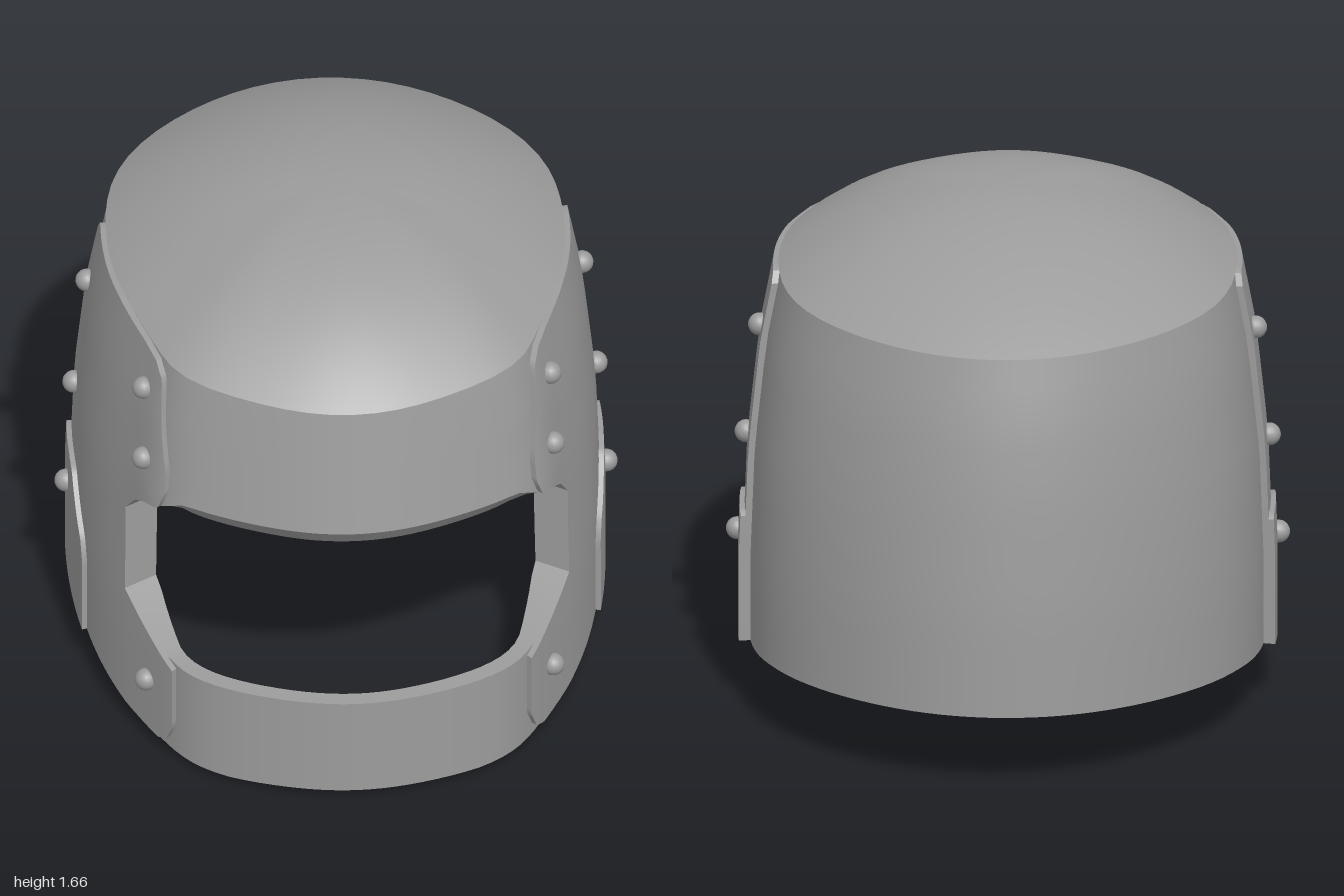
import * as THREE from 'three';
import { toCreasedNormals } from 'three/addons/utils/BufferGeometryUtils.js';

const steel = new THREE.MeshStandardMaterial({ color: 0x9c9c9c });
steel.name = 'grey steel';
const lining = new THREE.MeshStandardMaterial({ color: 0x424242 });
lining.name = 'dark lining';

// Piecewise linear profile through [position, value] pairs
function profile(points) {
  return (p) => {
    if (p <= points[0][0]) return points[0][1];
    for (let i = 1; i < points.length; i++) {
      const [a, b] = [points[i - 1], points[i]];
      if (p <= b[0]) return a[1] + ((b[1] - a[1]) * (p - a[0])) / (b[0] - a[0]);
    }
    return points[points.length - 1][1];
  };
}

// Plan size of the helmet at each height
const halfWidth = profile([[0, 0.8], [0.5, 0.8], [0.85, 0.787], [1.2, 0.75], [1.44, 0.705]]);
const frontReach = profile([[0, 1], [0.36, 1], [0.92, 0.925], [1.37, 0.84], [1.45, 0.82]]);
const backReach = profile([[0.26, 1], [0.6, 0.99], [0.97, 0.957], [1.2, 0.922], [1.41, 0.87]]);
// Angle at which the front corners are fullest
const cornerAngle = profile([[0.36, 0.5], [0.95, 0.66]]);
const bulge = (a, centre, width, size) => size * Math.exp(-(((a - centre) / width) ** 2));

// Edges and inner offset of the shell, by u = cos(angle from the front)
const bottom = profile([[-1, 0.26], [-0.5, 0.235], [-0.1, 0.195], [0.2, 0.14], [0.5, 0.075], [0.7, 0.03], [0.9, 0], [1, 0.005]]);
const rim = profile([[-1, 1.41], [-0.2, 1.43], [0.3, 1.43], [0.6, 1.41], [1, 1.37]]);
const inside = profile([[-1, -0.05], [0.3, -0.055], [0.5, -0.1], [0.56, -0.1], [0.75, -0.055]]);

// Point on the wall at angle t and height y, pushed out by off
function wall(t, y, off = 0) {
  const a = Math.abs(t > Math.PI ? t - 2 * Math.PI : t);
  const corner = 1 + bulge(a, cornerAngle(y), 0.26, 0.12) + bulge(a, 2.15, 0.42, 0.05);
  const reach = Math.cos(t) > 0 ? frontReach(y) : backReach(y);
  return new THREE.Vector3(
    (halfWidth(y) + off) * Math.sin(t) * corner, y, (reach + off) * Math.cos(t));
}

// Closed slab between a steel outer and a lined inner surface, functions of (t, v)
function slab(name, t0, t1, outer, inner, columns, rows) {
  const shellPos = [];
  const liningPos = [];
  const tri = (pos, a, b, c) => {
    if (a.distanceTo(b) > 1e-6 && b.distanceTo(c) > 1e-6 && c.distanceTo(a) > 1e-6) {
      for (const p of [a, b, c]) pos.push(p.x, p.y, p.z);
    }
  };
  const quad = (pos, a, b, c, d) => { tri(pos, a, b, c); tri(pos, a, c, d); };
  const loops = [];
  for (let i = 0; i <= columns; i++) {
    const t = t0 + ((t1 - t0) * i) / columns;
    const loop = [];
    for (let j = 0; j <= rows; j++) loop.push(outer(t, j / rows));
    for (let j = rows; j >= 0; j--) loop.push(inner(t, j / rows));
    loops.push(loop);
  }
  const n = 2 * rows + 2;
  for (let i = 0; i < columns; i++) {
    const [p, q] = [loops[i], loops[i + 1]];
    for (let k = 0; k < n; k++) {
      const pos = k > rows && k < n - 1 ? liningPos : shellPos;
      quad(pos, p[k], q[k], q[(k + 1) % n], p[(k + 1) % n]);
    }
  }
  const [s, e] = [loops[0], loops[columns]];
  for (let k = 0; k < rows; k++) {
    quad(shellPos, s[n - 1 - k], s[k], s[k + 1], s[n - 2 - k]);
    quad(shellPos, e[k], e[n - 1 - k], e[n - 2 - k], e[k + 1]);
  }
  const geometry = new THREE.BufferGeometry();
  geometry.setAttribute('position', new THREE.Float32BufferAttribute(shellPos.concat(liningPos), 3));
  geometry.addGroup(0, shellPos.length / 3, 0);
  geometry.addGroup(shellPos.length / 3, liningPos.length / 3, 1);
  const mesh = new THREE.Mesh(toCreasedNormals(geometry, 0.6), [steel, lining]);
  mesh.name = name;
  return mesh;
}

// Curved panel on the wall between two height profiles
function panel(name, t0, t1, lo, hi, offIn, offOut, columns = 24, lift = () => 0) {
  const surface = (off, raise) => (t, v) => {
    const u = Math.cos(t);
    const low = lo(u) + raise * lift(u);
    return wall(t, low + (hi(u) - low) * v, off(u));
  };
  return slab(name, t0, t1, surface(() => offOut, 1), surface(offIn, 0), columns, 12);
}

export function createModel() {
  const helmet = new THREE.Group();
  helmet.name = 'helmet';
  const eye = Math.acos(0.535);

  // Shell: sides and back, brow above the opening, chin guard below it
  const browEdge = profile([[0.535, 0.8], [0.6, 0.87], [0.66, 0.9], [1, 0.9]]);
  const chinEdge = profile([[0.535, 0.5], [0.73, 0.37], [0.8, 0.36], [1, 0.36]]);
  helmet.add(
    panel('shell', eye, 2 * Math.PI - eye, bottom, rim, inside, 0, 72),
    panel('brow', -eye, eye, browEdge, rim, inside, 0, 40, profile([[0.7, 0], [0.8, 0.06]])),
    panel('chinGuard', -eye, eye, bottom, chinEdge, inside, 0, 40, profile([[0.7, 0], [0.9, 0.02]])));

  // Dome closing the top, fuller towards the front
  const fullness = profile([[0.3, 2], [1, 2.6]]);
  const dome = (off) => (t, v) => {
    const r = Math.cos((v * Math.PI) / 2);
    const radius = r < 1e-6 ? 0 : r;
    const u = Math.cos(t);
    const y = rim(u);
    const p = wall(t, y, 0.004);
    const rise = (1.66 + off - y) * (1 - radius ** fullness(u));
    return new THREE.Vector3(p.x * radius, y + rise, p.z * radius);
  };
  helmet.add(slab('dome', 0, 2 * Math.PI, dome(0), dome(-0.05), 64, 14));

  // Riveted plates on both sides
  const rear = Math.acos(-0.19);
  const plateTop = profile([[-0.19, 1.39], [-0.17, 1.42], [-0.14, 1.43], [0.3, 1.425], [0.55, 1.405], [0.64, 1.39], [0.69, 1.35], [0.75, 1.05]]);
  const templeBase = profile([[0.535, 0.8], [0.6, 0.87], [0.66, 0.9], [0.73, 0.92], [0.75, 0.98]]);
  const jawBase = profile([[0.535, bottom(0.535)], [0.7, 0.05], [0.74, 0.07], [0.765, 0.13]]);
  const jawTop = profile([[0.535, 0.5], [0.73, 0.37], [0.765, 0.35]]);
  const cheekTop = profile([[-0.19, 0.62], [-0.17, 0.635], [0, 0.635], [0.07, 0.62], [0.22, 0.47], [0.24, 0.4]]);
  const rivets = [[0.51, 1.27], [0.58, 1.05], [-0.1, 1.23], [-0.07, 0.86], [-0.02, 0.515], [0.65, 0.24]];
  const ball = new THREE.SphereGeometry(0.036, 16, 12);

  for (const [side, label] of [[1, 'left'], [-1, 'right']]) {
    const group = new THREE.Group();
    group.name = label + 'Side';
    const plate = (name, front, back, lo, hi, offIn, offOut) => {
      const [a, b] = side > 0 ? [front, back] : [-back, -front];
      group.add(panel(name, a, b, lo, hi, () => offIn, offOut));
    };
    plate('sidePlate', eye, rear, bottom, plateTop, -0.01, 0.02);
    plate('templePlate', Math.acos(0.75), eye, templeBase, plateTop, -0.01, 0.02);
    plate('jawPlate', Math.acos(0.765), eye, jawBase, jawTop, -0.01, 0.02);
    plate('cheekPlate', Math.acos(0.24), rear, bottom, cheekTop, 0.01, 0.036);
    plate('innerCheekPad', Math.acos(0.24), rear, bottom, cheekTop, -0.068, -0.04);
    rivets.forEach(([z, y], i) => {
      const rivet = new THREE.Mesh(ball, steel);
      const reach = z > 0 ? frontReach(y) : backReach(y);
      rivet.position.copy(wall(side * Math.acos(z / reach), y, i === 4 ? 0.04 : 0.025));
      rivet.name = 'rivet';
      group.add(rivet);
    });
    helmet.add(group);
  }
  return helmet;
}
